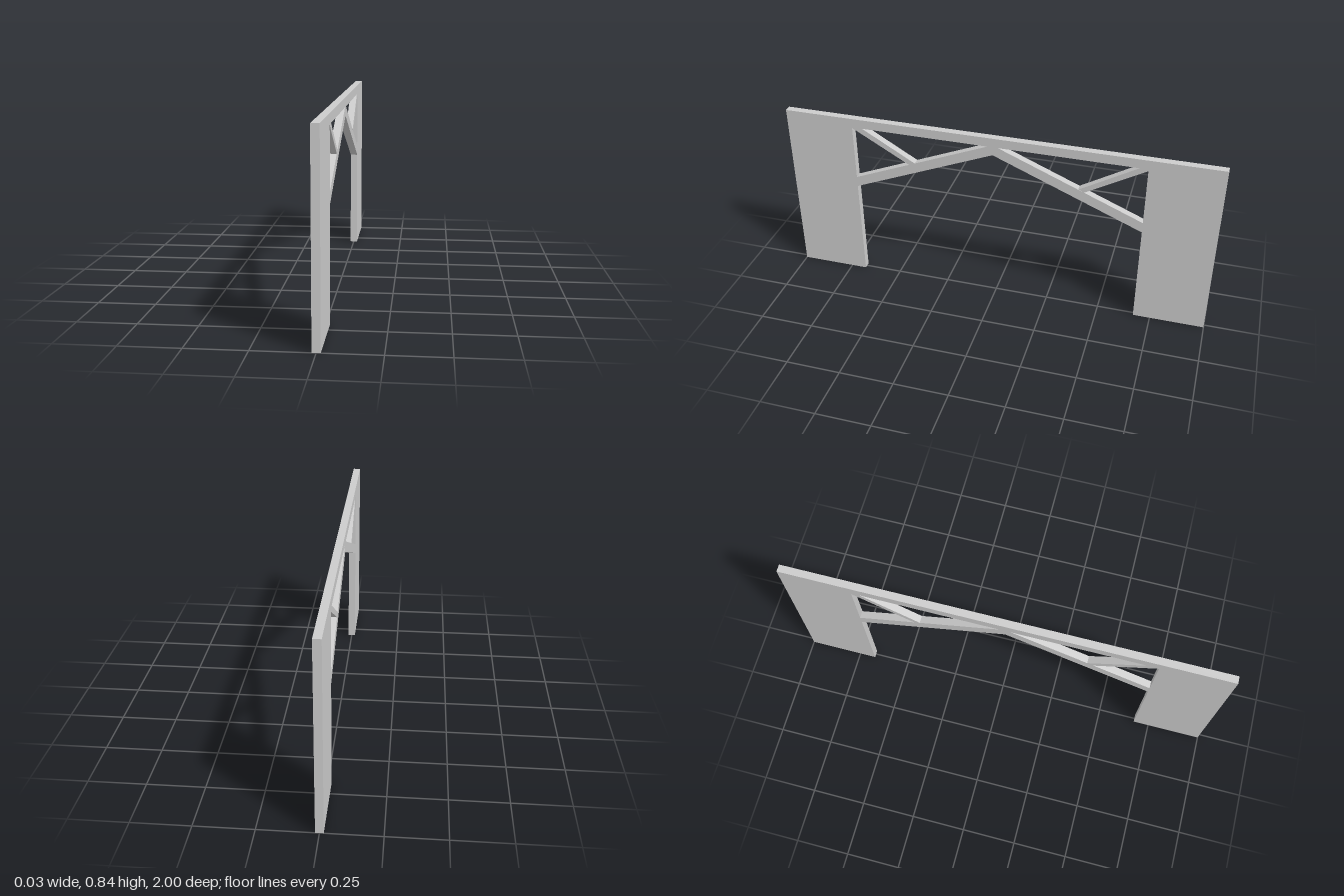
import * as THREE from 'three';

const THICKNESS = 0.034;
const TOP = 0.843, BEAM_BOTTOM = 0.8;
const FRONT = 0.677, BACK = -0.672; // inner faces of the two walls
const APEX = 0.013;                 // where the braces meet under the beam

export function createModel() {
  const group = new THREE.Group();
  const material = new THREE.MeshStandardMaterial({ color: 0xcccccc, flatShading: true });

  // Flat slab from a [z, y] outline, extruded across x
  const slab = (name, outline) => {
    const shape = new THREE.Shape(outline.map(([z, y]) => new THREE.Vector2(z, y)));
    const geometry = new THREE.ExtrudeGeometry(shape, { depth: THICKNESS, bevelEnabled: false });
    geometry.translate(0, 0, -THICKNESS / 2).rotateY(-Math.PI / 2);
    const mesh = new THREE.Mesh(geometry, material);
    mesh.name = name;
    group.add(mesh);
  };
  const rect = (z0, z1, y0, y1) => [[z0, y0], [z1, y0], [z1, y1], [z0, y1]];

  // Walls and the beam spanning between them
  slab('frontWall', rect(FRONT, 1, 0, TOP));
  slab('backWall', rect(-1, BACK, 0, TOP));
  slab('topBeam', rect(BACK, FRONT, BEAM_BOTTOM, TOP));

  // Sloping braces, mitred together beneath the beam
  slab('frontBrace', [[FRONT, 0.485], [FRONT, 0.535], [0.037, BEAM_BOTTOM], [APEX, BEAM_BOTTOM], [APEX, 0.76]]);
  slab('backBrace', [[BACK, 0.475], [BACK, 0.525], [-0.011, BEAM_BOTTOM], [APEX, BEAM_BOTTOM], [APEX, 0.76]]);

  // Thin struts from the upper wall corners down to the braces
  slab('frontStrut', [[FRONT, 0.797], [FRONT, BEAM_BOTTOM], [0.628, BEAM_BOTTOM], [0.382, 0.657], [0.41, 0.645]]);
  slab('backStrut', [[BACK, 0.792], [BACK, BEAM_BOTTOM], [-0.634, BEAM_BOTTOM], [-0.377, 0.648], [-0.404, 0.637]]);

  return group;
}
